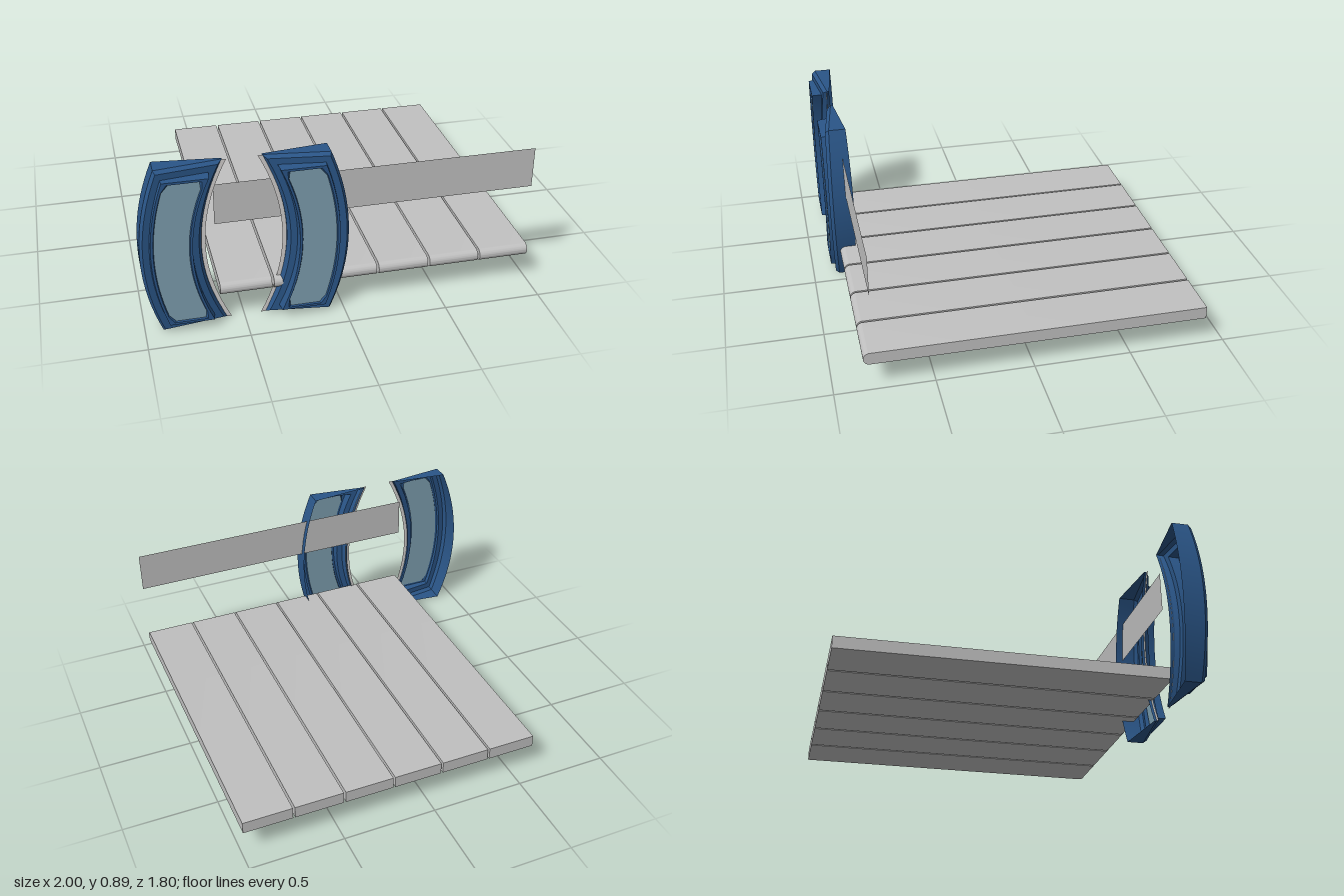
import * as THREE from 'three';
import { toCreasedNormals } from 'three/addons/utils/BufferGeometryUtils.js';

const N = 20, H = 0.89;
const paint = (name, color, side = THREE.FrontSide) => {
  const m = new THREE.MeshStandardMaterial({ color, side });
  m.name = name;
  return m;
};

// Curved side edges of the door, t runs from -1 (bottom) to 1 (top)
const outerX = t => -1 + 0.09 * t * t;
const innerX = t => -0.7 + 0.115 * t * t;
const frontZ = x => 0.89 - (x + 1) * 0.13;

// Closed loop around the door, shrunk by d; z is a function of (x, onInnerEdge)
function doorLoop(d, z, corner = 0) {
  const pts = [];
  for (let side = 0; side < 2; side++) {
    for (let i = 0; i <= N; i++) {
      const k = side ? N - i : i;
      const y = d + (H - 2 * d) * k / N;
      const t = (y - H / 2) / (H / 2);
      const c = d + (k === 0 || k === N ? corner : 0);
      const inner = side === 0;
      const x = inner ? innerX(t) - c : outerX(t) + c;
      pts.push([x, y, z(x, inner)]);
    }
  }
  return pts;
}

// Skin between successive loops of equal length
function loft(loops, closed = true) {
  const n = loops[0].length, index = [];
  for (let k = 0; k < loops.length - 1; k++) {
    for (let j = 0; j < (closed ? n : n - 1); j++) {
      const a = k * n + j, b = k * n + (j + 1) % n;
      index.push(a, b, b + n, a, b + n, a + n);
    }
  }
  const g = new THREE.BufferGeometry();
  g.setAttribute('position', new THREE.Float32BufferAttribute(loops.flat(2), 3));
  g.setIndex(index);
  return toCreasedNormals(g, 0.4);
}

export function createModel() {
  const model = new THREE.Group();
  const blue = paint('blueFrame', 0x2a5587, THREE.DoubleSide);
  const glass = paint('paleBlueGlass', 0x7d9eaf, THREE.DoubleSide);
  const grey = paint('greyDeck', 0xc0c0c0, THREE.DoubleSide);
  const pale = paint('paleSeal', 0xd2d0ce, THREE.DoubleSide);
  const add = (parent, name, geo, mat) => {
    const mesh = new THREE.Mesh(geo, mat);
    mesh.name = name;
    parent.add(mesh);
    return mesh;
  };

  // Door shell: wedge walls, bevel, front face, raised window surround; open at the back
  const shellGeo = loft([
    doorLoop(0, (x, inner) => inner ? 0.805 : 0.76 + (x + 1) * 0.108),
    doorLoop(0, x => frontZ(x) - 0.02),
    doorLoop(0.014, x => frontZ(x)),
    doorLoop(0.046, x => frontZ(x)),
    doorLoop(0.05, () => 0.9),
    doorLoop(0.062, () => 0.9, 0.015),
    doorLoop(0.066, () => 0.892, 0.02),
  ]);

  // Window pane spans between the two sides of the innermost loop
  const pane = doorLoop(0.066, () => 0.892, 0.02);
  const glassGeo = loft([pane.slice(0, N + 1), pane.slice(N + 1).reverse()], false);

  // Thin seal along the inner edge
  const sealEdge = w => Array.from({ length: N + 1 }, (_, i) => {
    const t = 2 * i / N - 1;
    return [innerX(t) + w, H * i / N, 0.82];
  });
  const sealGeo = loft([sealEdge(0.021), sealEdge(-0.003)], false);

  for (const name of ['rightDoor', 'leftDoor']) {
    const door = new THREE.Group();
    door.name = name;
    add(door, 'doorFrame', shellGeo, blue);
    add(door, 'doorWindow', glassGeo, glass);
    add(door, 'doorSeal', sealGeo, pale);
    if (name === 'leftDoor') {
      door.scale.x = -1;
      door.position.x = -0.98;
    }
    model.add(door);
  }

  // Deck planks with a rounded front nose
  const r = 0.0325, midY = 0.175;
  const profile = new THREE.Shape();
  profile.moveTo(-0.9, midY - r);
  profile.lineTo(0.848 - r, midY - r);
  profile.absarc(0.848 - r, midY, r, -Math.PI / 2, Math.PI / 2, false);
  profile.lineTo(-0.9, midY + r);
  const plankGeo = toCreasedNormals(
    new THREE.ExtrudeGeometry(profile, { depth: 0.259, bevelEnabled: false, curveSegments: 12 }), 0.6);
  plankGeo.rotateY(-Math.PI / 2);
  for (let i = 0; i < 6; i++) {
    add(model, 'plank' + (i + 1), plankGeo, grey).position.x = -0.361 + 0.27 * i;
  }

  // Upright flat panel above the front edge
  add(model, 'frontPanel', new THREE.PlaneGeometry(1.627, 0.216), grey).position.set(0.184, 0.641, 0.8);

  return model;
}
